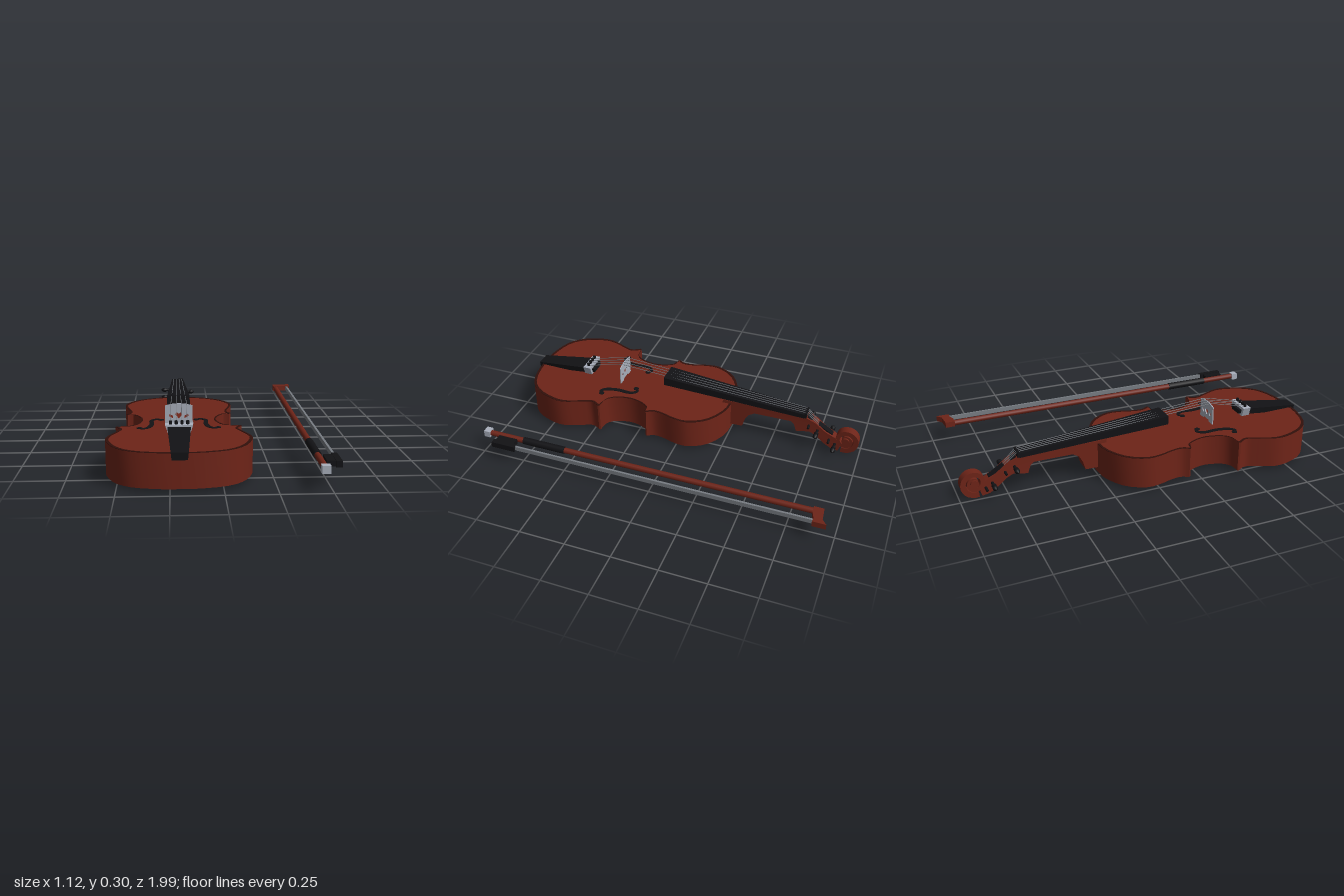
import * as THREE from 'three';
import { toCreasedNormals } from 'three/addons/utils/BufferGeometryUtils.js';

const CX = -0.204; // centre line of the violin
const mat = (color) => new THREE.MeshStandardMaterial({ color });
const wood = mat(0x6e2418), trim = mat(0x32100b), ebony = mat(0x121215);
const silver = mat(0xaab0bd), steel = mat(0x777c82);
const V2 = (p) => new THREE.Vector2(p[0], p[1]);
const lerp = THREE.MathUtils.lerp;
const spline = (pts, n) => new THREE.SplineCurve(pts.map(V2)).getPoints(n);

function add(group, name, geometry, material, x = 0, y = 0, z = 0) {
  const mesh = new THREE.Mesh(geometry, material);
  mesh.name = name;
  mesh.position.set(x, y, z);
  group.add(mesh);
  return mesh;
}

// Shape drawn in (x, z), extruded downwards from y = top
function slab(shape, top, depth, crease = 0.6) {
  const g = new THREE.ExtrudeGeometry(shape, { depth, bevelEnabled: false });
  g.rotateX(Math.PI / 2).translate(0, top, 0);
  return toCreasedNormals(g, crease);
}

// Shape drawn in (z, y), extruded across x to a half width that depends on z
function sideProfile(pts, half) {
  const g = new THREE.ExtrudeGeometry(new THREE.Shape(pts), { depth: 2, bevelEnabled: false });
  g.translate(0, 0, -1).rotateY(-Math.PI / 2);
  const p = g.attributes.position;
  for (let i = 0; i < p.count; i++) p.setX(i, p.getX(i) * half(p.getZ(i)));
  return toCreasedNormals(g, 0.6);
}

// Tapered bar between two cross-sections { z, w (half width), lo, hi }
function bar(a, b, bottom = 1) {
  const g = new THREE.BoxGeometry(2, 1, 1);
  const p = g.attributes.position;
  for (let i = 0; i < p.count; i++) {
    const s = p.getZ(i) > 0 ? a : b, up = p.getY(i) > 0;
    p.setXYZ(i, p.getX(i) * s.w * (up ? 1 : bottom), up ? s.hi : s.lo, s.z);
  }
  g.computeVertexNormals();
  return g;
}

// Flat ribbon around a centre curve with half width w(t)
function ribbon(points, w) {
  const left = [], right = [];
  points.forEach((p, i) => {
    const a = points[Math.max(i - 1, 0)], b = points[Math.min(i + 1, points.length - 1)];
    const d = b.clone().sub(a).normalize(), h = w(i / (points.length - 1));
    left.push(new THREE.Vector2(p.x - d.y * h, p.y + d.x * h));
    right.unshift(new THREE.Vector2(p.x + d.y * h, p.y - d.x * h));
  });
  return left.concat(right);
}

function buildBody(violin) {
  // Half outline: upper bout, waist and lower bout meet at sharp corners
  const half = [
    ...spline([[0, -0.252], [0.12, -0.24], [0.235, -0.175], [0.293, -0.08], [0.293, 0], [0.27, 0.08], [0.264, 0.14], [0.285, 0.18]], 18),
    ...spline([[0.275, 0.19], [0.24, 0.192], [0.207, 0.25], [0.195, 0.32], [0.215, 0.4], [0.255, 0.445], [0.32, 0.452]], 14),
    ...spline([[0.322, 0.462], [0.297, 0.51], [0.318, 0.57], [0.353, 0.66], [0.35, 0.74], [0.305, 0.85], [0.225, 0.92], [0.1, 0.953], [0, 0.958]], 20),
  ];
  const mirrored = half.slice(1, -1).reverse().map((p) => new THREE.Vector2(-p.x, p.y));
  const outline = half.concat(mirrored);
  add(violin, 'body', slab(new THREE.Shape(outline), 0.19, 0.17), wood);

  // Dark edging around the top plate
  const edge = new THREE.Shape(outline);
  edge.holes.push(new THREE.Path(outline.map((p) => new THREE.Vector2(p.x * 0.96, 0.353 + (p.y - 0.353) * 0.98))));
  add(violin, 'edging', slab(edge, 0.192, 0.002), trim);

  // Sound holes: tapered S ribbons with round ends
  for (const s of [-1, 1]) {
    const curve = spline([[0.09, 0.318], [0.115, 0.302], [0.142, 0.335], [0.14, 0.415], [0.155, 0.48], [0.183, 0.505], [0.202, 0.49]]
      .map(([x, z]) => [x * s, z]), 24);
    const hole = ribbon(curve, (t) => 0.004 + 0.008 * Math.sin(Math.PI * t));
    add(violin, 'soundHole', slab(new THREE.Shape(hole), 0.193, 0.003), ebony);
    for (const [x, z] of [[0.092, 0.318], [0.2, 0.491]])
      add(violin, 'soundHoleEnd', new THREE.CylinderGeometry(0.015, 0.015, 0.003, 12), ebony, x * s, 0.1915, z);
  }
}

function buildNeck(violin) {
  const width = (z) => z > -0.65 ? lerp(0.035, 0.046, (z + 0.65) / 0.45) : lerp(0.02, 0.035, (z + 1) / 0.35);
  const neck = [
    [-0.2, 0.21], [-0.68, 0.195], [-0.74, 0.168], [-0.8, 0.12], [-0.84, 0.1], [-0.87, 0.085],
    [-0.89, 0.035], [-0.88, 0.006], [-0.84, 0.015], [-0.8, 0.04], [-0.75, 0.085], [-0.71, 0.105], [-0.66, 0.095],
    [-0.635, 0.092], [-0.62, 0.135], [-0.6, 0.152], [-0.39, 0.155], [-0.355, 0.135], [-0.335, 0.1], [-0.32, 0.05], [-0.2, 0.05],
  ];
  add(violin, 'neck', sideProfile(neck.map(V2), width), wood);

  // Scroll: a flat spiral with a wider eye
  const spiral = [];
  for (let i = 0; i <= 40; i++) {
    const t = i / 40, a = -Math.PI * 0.4 - t * Math.PI * 3.4, r = lerp(0.068, 0.018, t);
    spiral.push(new THREE.Vector2(-0.917 + r * Math.cos(a), 0.084 + r * Math.sin(a)));
  }
  add(violin, 'scroll', sideProfile(ribbon(spiral, (t) => lerp(0.016, 0.007, t)), () => 0.025), wood);
  const eye = new THREE.CylinderGeometry(0.022, 0.022, 0.07, 14).rotateZ(Math.PI / 2);
  add(violin, 'scrollEye', eye, wood, 0, 0.084, -0.917);

  add(violin, 'fingerboard', bar({ z: 0.155, w: 0.062, lo: 0.238, hi: 0.287 }, { z: -0.675, w: 0.037, lo: 0.19, hi: 0.216 }), ebony);
  add(violin, 'nut', new THREE.BoxGeometry(0.07, 0.03, 0.012), ebony, 0, 0.207, -0.68);
  add(violin, 'pegboxSlot', bar({ z: -0.69, w: 0.022, lo: 0.17, hi: 0.195 }, { z: -0.84, w: 0.016, lo: 0.08, hi: 0.105 }), ebony);

  // Tuning pegs, alternating sides
  const profile = [[0, -0.06], [0.007, -0.06], [0.008, 0.055], [0.013, 0.062], [0.006, 0.068], [0.014, 0.08], [0.014, 0.092], [0.006, 0.104], [0, 0.108]];
  [[-0.705, 0.145, -1], [-0.755, 0.122, 1], [-0.825, 0.073, -1], [-0.86, 0.05, 1]].forEach(([z, y, s]) => {
    const peg = new THREE.LatheGeometry(profile.map(V2), 12).rotateZ(-s * Math.PI / 2);
    add(violin, 'peg', peg, ebony, 0, y, z);
  });
}

function buildFittings(violin) {
  // Bridge plate with cut-outs
  const plate = new THREE.Shape([[-0.072, 0.19], [-0.035, 0.19], [-0.025, 0.2], [0.025, 0.2], [0.035, 0.19], [0.072, 0.19],
    [0.07, 0.293], [0.035, 0.301], [0, 0.304], [-0.035, 0.301], [-0.07, 0.293]].map(V2));
  const heart = [[0, 0.222], [0.018, 0.245], [0.012, 0.258], [0, 0.25], [-0.012, 0.258], [-0.018, 0.245]];
  plate.holes.push(new THREE.Path(heart.map(V2)));
  for (const s of [-1, 1])
    plate.holes.push(new THREE.Path([[0.03, 0.225], [0.05, 0.235], [0.048, 0.248], [0.03, 0.24]].map(([x, y]) => V2([x * s, y]))));
  add(violin, 'bridge', new THREE.ExtrudeGeometry(plate, { depth: 0.006, bevelEnabled: false }), silver, 0, 0, 0.422);

  add(violin, 'tailpiece', bar({ z: 0.978, w: 0.041, lo: 0.163, hi: 0.2 }, { z: 0.66, w: 0.058, lo: 0.205, hi: 0.24 }, 0.9), ebony);
  add(violin, 'tailpieceBand', bar({ z: 0.668, w: 0.068, lo: 0.197, hi: 0.248 }, { z: 0.622, w: 0.07, lo: 0.197, hi: 0.25 }, 0.75), silver);
  add(violin, 'tailpieceTip', bar({ z: 0.63, w: 0.05, lo: 0.205, hi: 0.235 }, { z: 0.608, w: 0.045, lo: 0.208, hi: 0.232 }, 0.8), ebony);

  // Strings and fine tuners
  for (let i = 0; i < 4; i++) {
    const k = (i - 1.5) / 1.5;
    add(violin, 'fineTuner', new THREE.CylinderGeometry(0.008, 0.008, 0.022, 10), ebony, k * 0.042, 0.255, 0.645);
    const path = new THREE.CurvePath();
    const pts = [[0.04, 0.25, 0.645], [0.04, 0.305, 0.425], [0.025, 0.223, -0.68], [0.015, 0.15, -0.76]]
      .map(([x, y, z]) => new THREE.Vector3(k * x, y, z));
    for (let j = 0; j < 3; j++) path.add(new THREE.LineCurve3(pts[j], pts[j + 1]));
    add(violin, 'string', new THREE.TubeGeometry(path, 60, 0.0018, 5), steel);
  }
}

function buildBow(bow) {
  const Y = 0.113, X = 0.461;
  const rod = (name, r, z0, z1, m, sides = 12) =>
    add(bow, name, new THREE.CylinderGeometry(r, r, z1 - z0, sides).rotateX(Math.PI / 2), m, X, Y, (z0 + z1) / 2);
  rod('stick', 0.016, -0.9, 0.96, wood);
  rod('grip', 0.0205, 0.505, 0.755, ebony);
  add(bow, 'endCap', new THREE.BoxGeometry(0.042, 0.038, 0.036), silver, X, Y, 0.978);
  const tip = [[0.445, -0.925], [0.525, -0.932], [0.555, -0.957], [0.555, -0.885], [0.53, -0.888], [0.485, -0.872], [0.445, -0.872]];
  add(bow, 'tip', slab(new THREE.Shape(tip.map(V2)), Y + 0.016, 0.032), wood);
  add(bow, 'frog', new THREE.BoxGeometry(0.068, 0.028, 0.11), ebony, 0.514, Y, 0.842);
  add(bow, 'frogSlide', new THREE.BoxGeometry(0.03, 0.032, 0.14), ebony, 0.537, Y, 0.838);
  add(bow, 'hair', new THREE.BoxGeometry(0.012, 0.024, 1.67), steel, 0.535, Y, -0.055);
}

export function createModel() {
  const model = new THREE.Group();
  const violin = new THREE.Group();
  violin.name = 'violin';
  violin.position.x = CX;
  buildBody(violin);
  buildNeck(violin);
  buildFittings(violin);
  const bow = new THREE.Group();
  bow.name = 'bow';
  buildBow(bow);
  model.add(violin, bow);
  return model;
}
